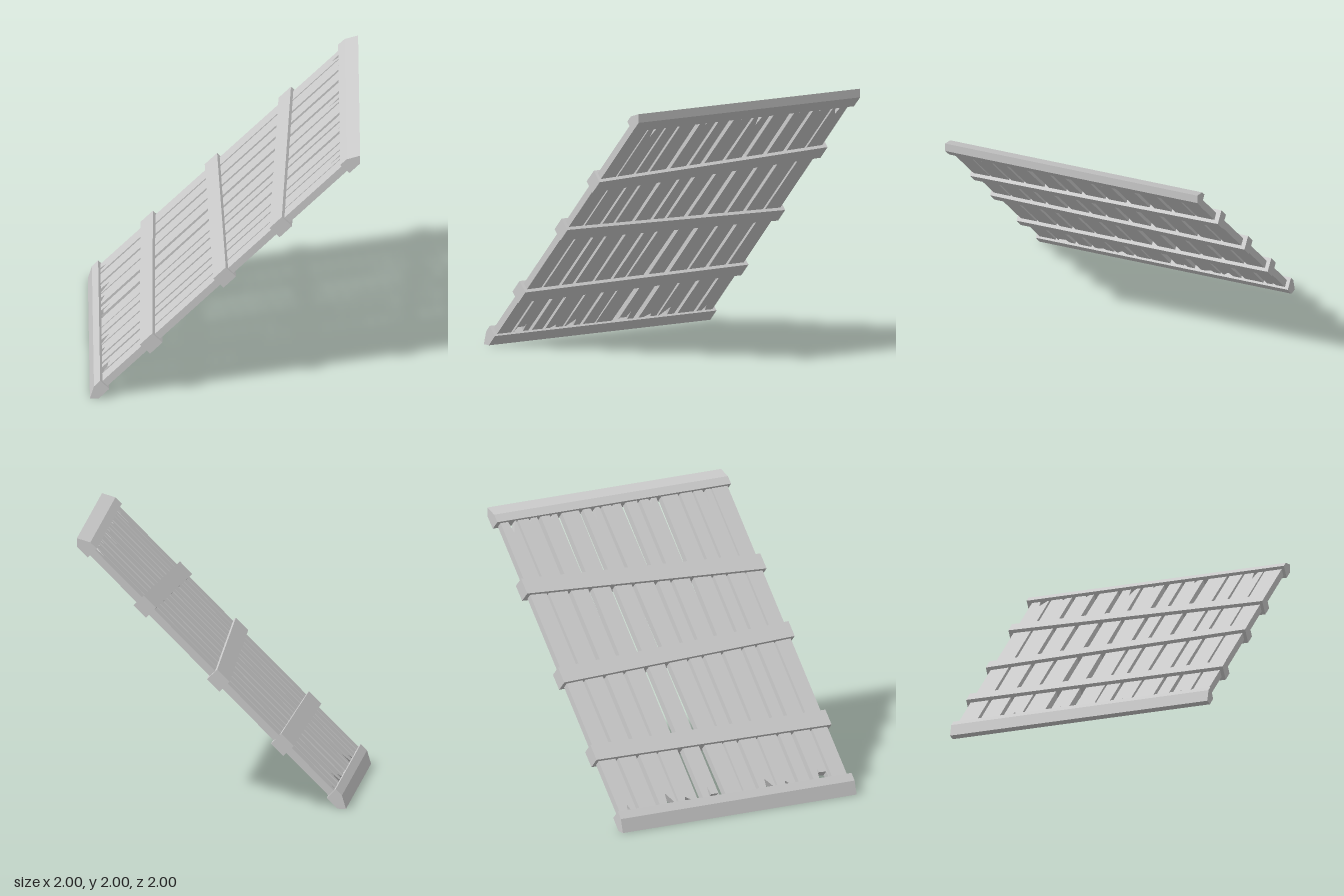
import * as THREE from 'three';

const material = new THREE.MeshStandardMaterial({ color: 0xcccccc, flatShading: true });
const END = 1.27, THICK = 0.055;

function addMesh(parent, geometry, name) {
  const mesh = new THREE.Mesh(geometry, material);
  mesh.name = name;
  parent.add(mesh);
}

// Plank edges: [lower end z max, z min, upper end z max, z min, lower splits, upper splits]
// A split is a run of [z, distance along the slope] points, from high z to low z.
const notch = (a, tip, b, reach, end) => [[a, end], [tip, reach], [b, end]];
const low = (a, tip, b, reach) => notch(a, tip, b, reach, -END);
const high = (a, tip, b, reach) => notch(a, tip, b, reach, END);
const planks = [
  [0.973, 0.845, 0.978, 0.845],
  [0.824, 0.69, 0.834, 0.69, [[0.815, -1.2], [0.755, -1.195], [0.75, -1.165], [0.735, -END]], high(0.795, 0.775, 0.76, 1.13)],
  [0.658, 0.562, 0.674, 0.572],
  [0.535, 0.38, 0.551, 0.412, low(0.51, 0.455, 0.44, -1.22)],
  [0.364, 0.225, 0.369, 0.23, low(0.36, 0.295, 0.28, -1.175), high(0.33, 0.31, 0.295, 1.21)],
  [0.198, 0.091, 0.203, 0.107],
  [0.08, -0.064, 0.064, -0.096, null, high(0.005, -0.01, -0.025, 1.225)],
  [-0.118, -0.257, -0.118, -0.257, [[-0.122, -1.23], [-0.18, -1.23], [-0.19, -1.16], [-0.205, -END]], high(-0.15, -0.18, -0.195, 1.13)],
  [-0.305, -0.465, -0.294, -0.438, low(-0.33, -0.4, -0.415, -1.215)],
  [-0.481, -0.626, -0.481, -0.62, low(-0.485, -0.55, -0.565, -1.16), high(-0.515, -0.535, -0.55, 1.22)],
  [-0.658, -0.802, -0.652, -0.813, null, high(-0.695, -0.715, -0.73, 1.22)],
  [-0.829, -0.973, -0.829, -0.963, low(-0.87, -0.89, -0.91, -1.2), high(-0.835, -0.885, -0.9, 1.16)],
];

function plankGeometry([lowA, lowB, highA, highB, lowSplit, highSplit]) {
  const outline = [
    [lowA, -END], ...(lowSplit || []), [lowB, -END],
    [highB, END], ...(highSplit || []).slice().reverse(), [highA, END],
  ];
  const shape = new THREE.Shape(outline.map(([z, s]) => new THREE.Vector2(s, -z)));
  return new THREE.ExtrudeGeometry(shape, { depth: THICK, bevelEnabled: false })
    .rotateX(-Math.PI / 2).translate(0, -THICK / 2, 0);
}

// Batten whose ends stay square to z while its middle line slants
function battenGeometry(frontS, backS) {
  const geometry = new THREE.BoxGeometry(0.13, 0.107, 2);
  const p = geometry.attributes.position;
  for (let i = 0; i < p.count; i++) {
    p.setX(i, p.getX(i) + THREE.MathUtils.lerp(backS, frontS, (p.getZ(i) + 1) / 2));
  }
  geometry.computeVertexNormals();
  return geometry;
}

function railGeometry(points) {
  const shape = new THREE.Shape(points.map(([x, y]) => new THREE.Vector2(x, y)));
  return new THREE.ExtrudeGeometry(shape, { depth: 2, bevelEnabled: false }).translate(0, 0, -1);
}

export function createModel() {
  const model = new THREE.Group();
  model.name = 'slopedPlankPanel';

  // Planks and battens lie in a plane tilted by 45 degrees
  const slope = new THREE.Group();
  slope.name = 'slope';
  slope.rotation.z = Math.PI / 4;
  slope.position.y = 1;
  model.add(slope);
  planks.forEach((plank, i) => addMesh(slope, plankGeometry(plank), `plank${i + 1}`));
  [[-0.773, -0.745], [-0.004, -0.073], [0.583, 0.7]].forEach(([front, back], i) =>
    addMesh(slope, battenGeometry(front, back), `batten${i + 1}`));

  // Pointed end rails, the lower one mirrored across the middle of the slope
  const profile = [[1, 2], [0.9, 1.97], [0.852, 1.924], [0.92, 1.857], [1, 1.935]];
  addMesh(model, railGeometry(profile), 'upperRail');
  addMesh(model, railGeometry(profile.map(([x, y]) => [1 - y, 1 - x])), 'lowerRail');
  return model;
}
